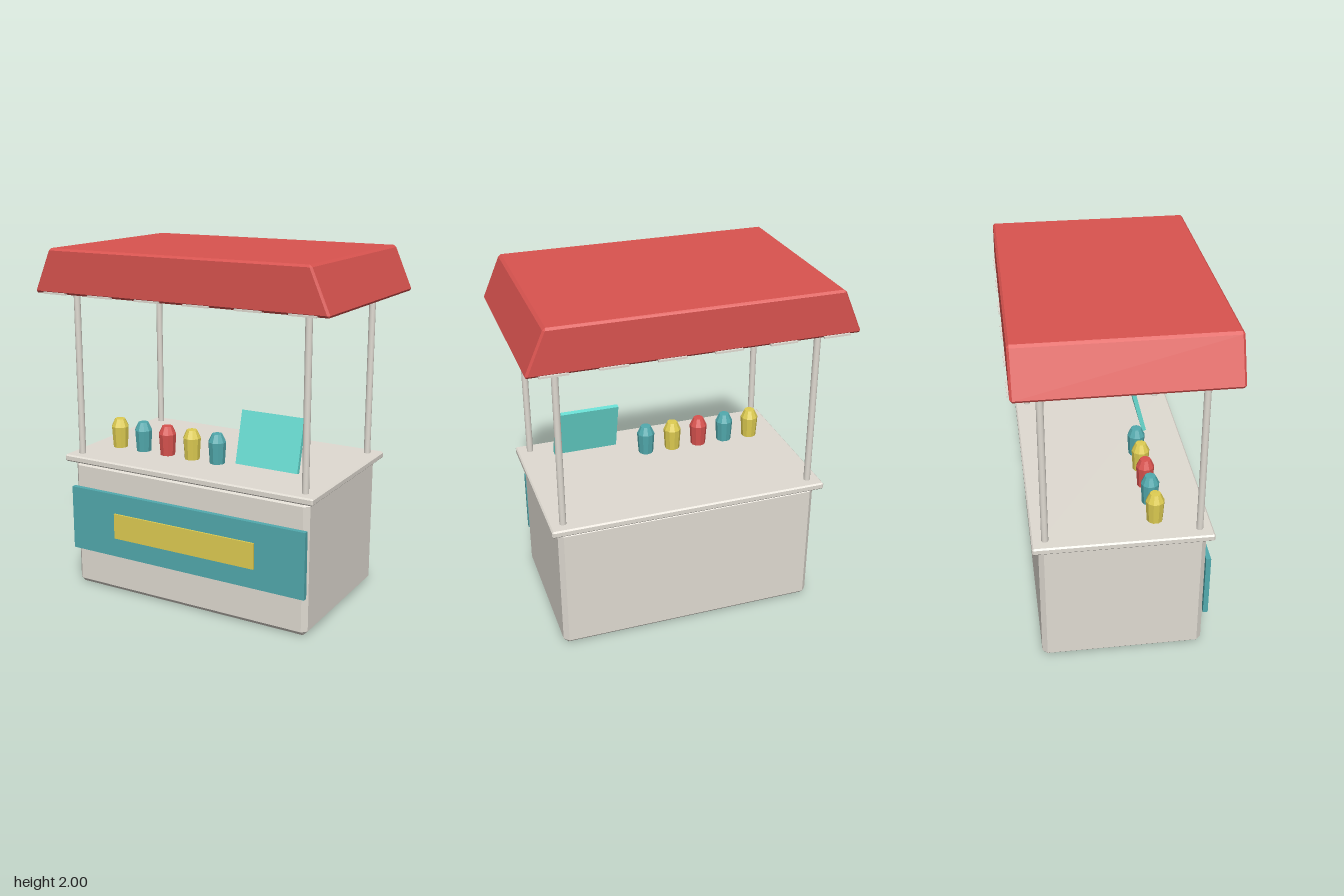
import * as THREE from 'three';
import { ConvexGeometry } from 'three/addons/geometries/ConvexGeometry.js';

const mat = (name, color) => {
  const m = new THREE.MeshStandardMaterial({ color });
  m.name = name;
  return m;
};

// Box with chamfered edges; taper narrows x towards the top
function chamferBox(w, h, d, b, taper = 0) {
  const points = [];
  for (const sx of [-1, 1]) for (const sy of [-1, 1]) for (const sz of [-1, 1]) {
    for (const [ix, iy, iz] of [[0, b, b], [b, 0, b], [b, b, 0]]) {
      const y = sy * (h / 2 - iy);
      const k = 1 - taper * (y / h + 0.5);
      points.push(new THREE.Vector3(sx * (w / 2 - ix) * k, y, sz * (d / 2 - iz)));
    }
  }
  return new ConvexGeometry(points);
}

export function createModel() {
  const stall = new THREE.Group();
  stall.name = 'marketStall';

  const cream = mat('cream', 0xe0dbd2);
  const red = mat('red', 0xd9534f);
  const teal = mat('teal', 0x52aaae);
  const yellow = mat('yellow', 0xdfcd52);
  const aqua = mat('aqua', 0x68dcd2);

  const add = (name, geometry, material, x, y, z) => {
    const mesh = new THREE.Mesh(geometry, material);
    mesh.name = name;
    mesh.position.set(x, y, z);
    stall.add(mesh);
    return mesh;
  };

  // Cabinet and counter
  add('cabinet', chamferBox(1.51, 0.765, 0.91, 0.028), cream, 0, 0.3825, 0);
  add('counterTop', chamferBox(1.59, 0.04, 0.98, 0.008), cream, 0, 0.782, 0);

  // Front panel with its plaque
  add('frontPanel', new THREE.BoxGeometry(1.51, 0.38, 0.028), teal, 0, 0.42, 0.469);
  add('frontPlaque', new THREE.BoxGeometry(0.91, 0.15, 0.01), yellow, 0, 0.42, 0.488);

  // Corner poles
  const poleGeometry = new THREE.CylinderGeometry(0.019, 0.019, 0.97, 12);
  for (const x of [-0.72, 0.72]) for (const z of [-0.417, 0.417]) {
    add('pole', poleGeometry, cream, x, 1.28, z);
  }

  // Canopy with stripes across its underside
  add('canopy', chamferBox(1.8, 0.25, 1.13, 0.012, 0.122), red, 0, 1.875, 0);
  const stripeGeometry = new THREE.BoxGeometry(0.151, 0.01, 1.15);
  for (let i = 0; i < 6; i++) {
    add('canopyStripe', stripeGeometry, cream, -0.755 + i * 0.302, 1.754, 0);
  }

  // Row of jars
  const jarProfile = [[0, 0], [0.044, 0], [0.052, 0.125], [0.03, 0.172], [0, 0.173]]
    .map(([r, y]) => new THREE.Vector2(r, y));
  const jarGeometry = new THREE.LatheGeometry(jarProfile, 10).toNonIndexed();
  jarGeometry.computeVertexNormals();
  [yellow, teal, red, yellow, teal].forEach((material, i) => {
    add('jar', jarGeometry, material, -0.61 + i * 0.167, 0.802, 0.19);
  });

  // Leaning menu board
  const board = add('menuBoard', new THREE.BoxGeometry(0.378, 0.3, 0.025), aqua, 0.415, 0.99, 0.23);
  board.rotation.x = -0.25;

  return stall;
}
